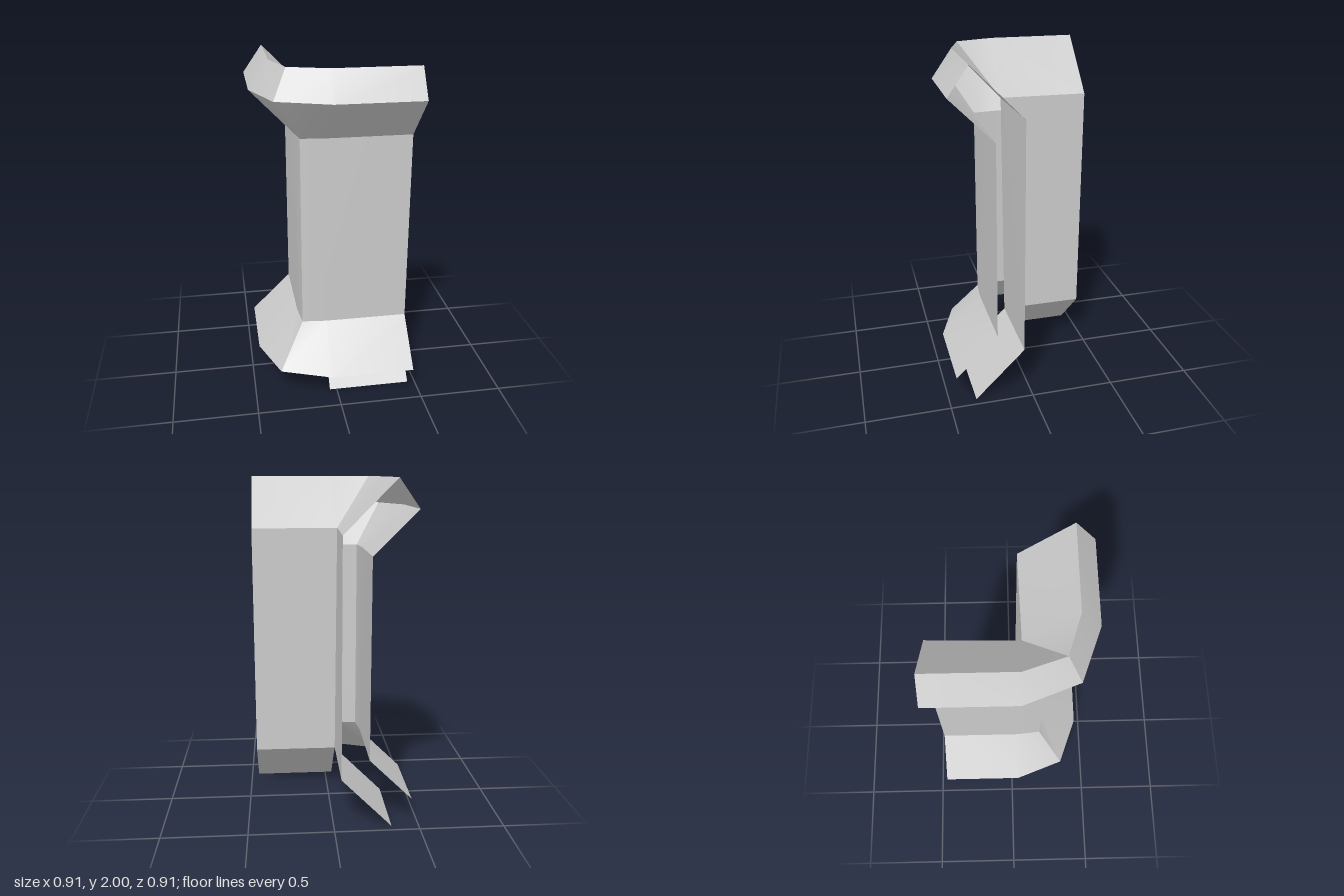
import * as THREE from 'three';

const INNER = 0.043; // inner wall face, also where the straight wing meets the corner
const END = 0.455;   // open end of each wing

// One horizontal line of the shell: corner point, start of the straight wing, wing end
function row(y, corner, mid, end = mid) {
  return [[-corner, y, corner], [-INNER, y, mid], [END, y, end]];
}

// Strip between two rows; mirrored strips are reflected across the corner diagonal
function strip(a, b, mirrored) {
  const n = a.length;
  const pos = [...a, ...b].flatMap(([x, y, z]) => (mirrored ? [-z, y, -x] : [x, y, z]));
  const index = [];
  for (let i = 0; i < n - 1; i++) {
    for (const [p, q, r] of [[i, n + i, i + 1], [i + 1, n + i, n + i + 1]]) {
      index.push(...(mirrored ? [p, r, q] : [p, q, r]));
    }
  }
  const geo = new THREE.BufferGeometry();
  geo.setAttribute('position', new THREE.Float32BufferAttribute(pos, 3));
  geo.setIndex(index);
  geo.computeVertexNormals();
  return geo;
}

export function createModel() {
  const group = new THREE.Group();
  group.name = 'cornerWall';
  const material = new THREE.MeshStandardMaterial({ color: 0xcccccc, side: THREE.DoubleSide });

  // Outer profile, top to bottom
  const crest = row(2, 0.267, 0.34);
  const brim = row(1.837, 0.343, END);
  const wallTop = row(1.587, 0.19, 0.205);
  const wallFoot = row(0.417, 0.19, 0.205);
  const skirt = row(0.17, 0.343, END);

  // Inner profile, leaning very slightly at the corner
  const innerTop = row(1.7, 0.056, 0.0557, INNER);
  const innerFoot = row(0.3, INNER, INNER);

  // Inner flares are straight, leaving an open gap at the corner
  const flareTop = innerFoot.slice(1);
  const flareHem = [[-INNER, 0, 0.34], [END, 0, 0.34]];

  const parts = {
    crestBevel: [crest, brim],
    overhang: [brim, wallTop],
    outerWall: [wallTop, wallFoot],
    outerSkirt: [wallFoot, skirt],
    topSlope: [innerTop, crest],
    innerWall: [innerFoot, innerTop],
    innerFlare: [flareHem, flareTop],
  };

  // Front wing, and side wing mirrored over the diagonal
  for (const wing of ['front', 'side']) {
    const wingGroup = new THREE.Group();
    wingGroup.name = wing + 'Wing';
    for (const [name, [a, b]] of Object.entries(parts)) {
      const mesh = new THREE.Mesh(strip(a, b, wing === 'side'), material);
      mesh.name = name;
      wingGroup.add(mesh);
    }
    group.add(wingGroup);
  }
  return group;
}
